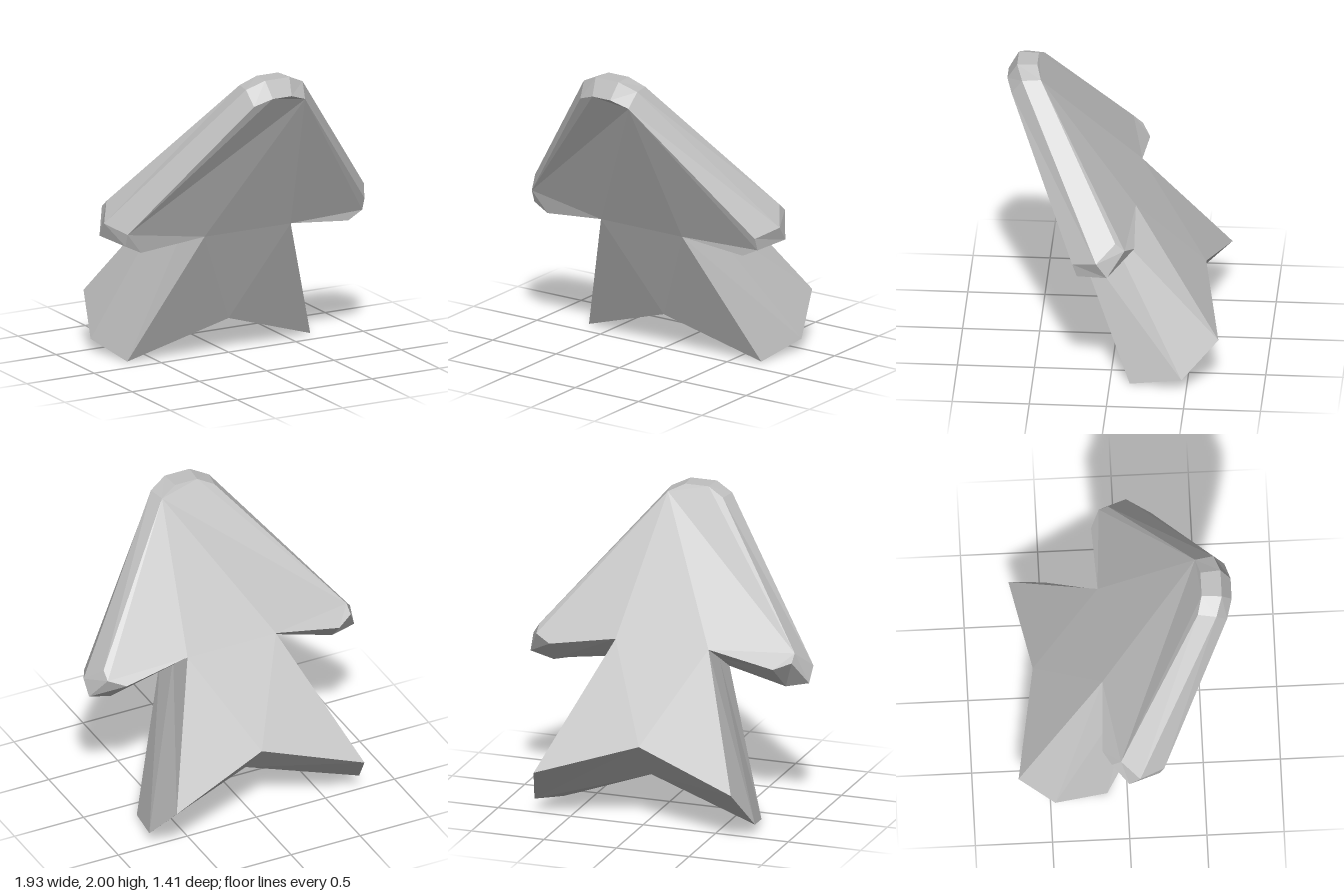
import * as THREE from 'three';

// Half outlines (+x side), from the tip down to the tail notch
const front = [
  [0.07, 1.89, 0.705], [0.19, 1.845, 0.67], [0.88, 0.97, 0.23], [0.88, 0.885, 0.2],
  [0.77, 0.83, 0.21], [0.32, 0.885, 0.25], [0.68, 0, -0.13], [0, 0.23, 0],
];
const middle = [
  [0.09, 2, 0.64], [0.21, 1.945, 0.6], [0.965, 1.02, 0.07], [0.96, 0.92, 0],
  [0.8, 0.88, 0], [0.32, 1, 0.06], [0.76, 0.08, -0.47], [0, 0.296, -0.345],
];
const back = [
  [0.08, 2, 0.51], [0.19, 1.945, 0.48], [0.88, 1.13, -0.05], [0.88, 1.08, -0.11],
  [0.77, 1.04, -0.165], [0.32, 1.12, -0.145], [0.68, 0.34, -0.705], [0, 0.555, -0.58],
];

// Full loop from a half outline, the notch point being shared
function mirrorLoop(half) {
  const other = half.slice(0, -1).reverse().map(([x, y, z]) => [-x, y, z]);
  return [...half, ...other];
}

// Flat-faced surface from a list of triangles
function surface(triangles) {
  const geometry = new THREE.BufferGeometry();
  geometry.setAttribute('position', new THREE.Float32BufferAttribute(triangles.flat(2), 3));
  geometry.computeVertexNormals();
  return geometry;
}

// Cap over one loop, facing +z (side 1) or -z (side -1)
function cap(loop, side) {
  const contour = loop.map(([x, y]) => new THREE.Vector2(x, y));
  return THREE.ShapeUtils.triangulateShape(contour, []).map((face) => {
    const [a, b, c] = face.map((i) => loop[i]);
    const turn = (b[0] - a[0]) * (c[1] - a[1]) - (b[1] - a[1]) * (c[0] - a[0]);
    return turn * side > 0 ? [a, b, c] : [a, c, b];
  });
}

// Band of quads between a nearer loop and the one behind it
function band(a, b) {
  return a.flatMap((p, i) => {
    const j = (i + 1) % a.length;
    return [[p, a[j], b[j]], [p, b[j], b[i]]];
  });
}

export function createModel() {
  const group = new THREE.Group();
  group.name = 'tiltedArrow';
  const grey = new THREE.MeshStandardMaterial({ color: 0xc0c0c0, flatShading: true });
  grey.name = 'light grey';

  const [f, m, b] = [front, middle, back].map(mirrorLoop);
  const parts = {
    frontFace: cap(f, 1),
    frontBevel: band(f, m),
    backBevel: band(m, b),
    backFace: cap(b, -1),
  };
  for (const [name, triangles] of Object.entries(parts)) {
    const mesh = new THREE.Mesh(surface(triangles), grey);
    mesh.name = name;
    group.add(mesh);
  }
  return group;
}
